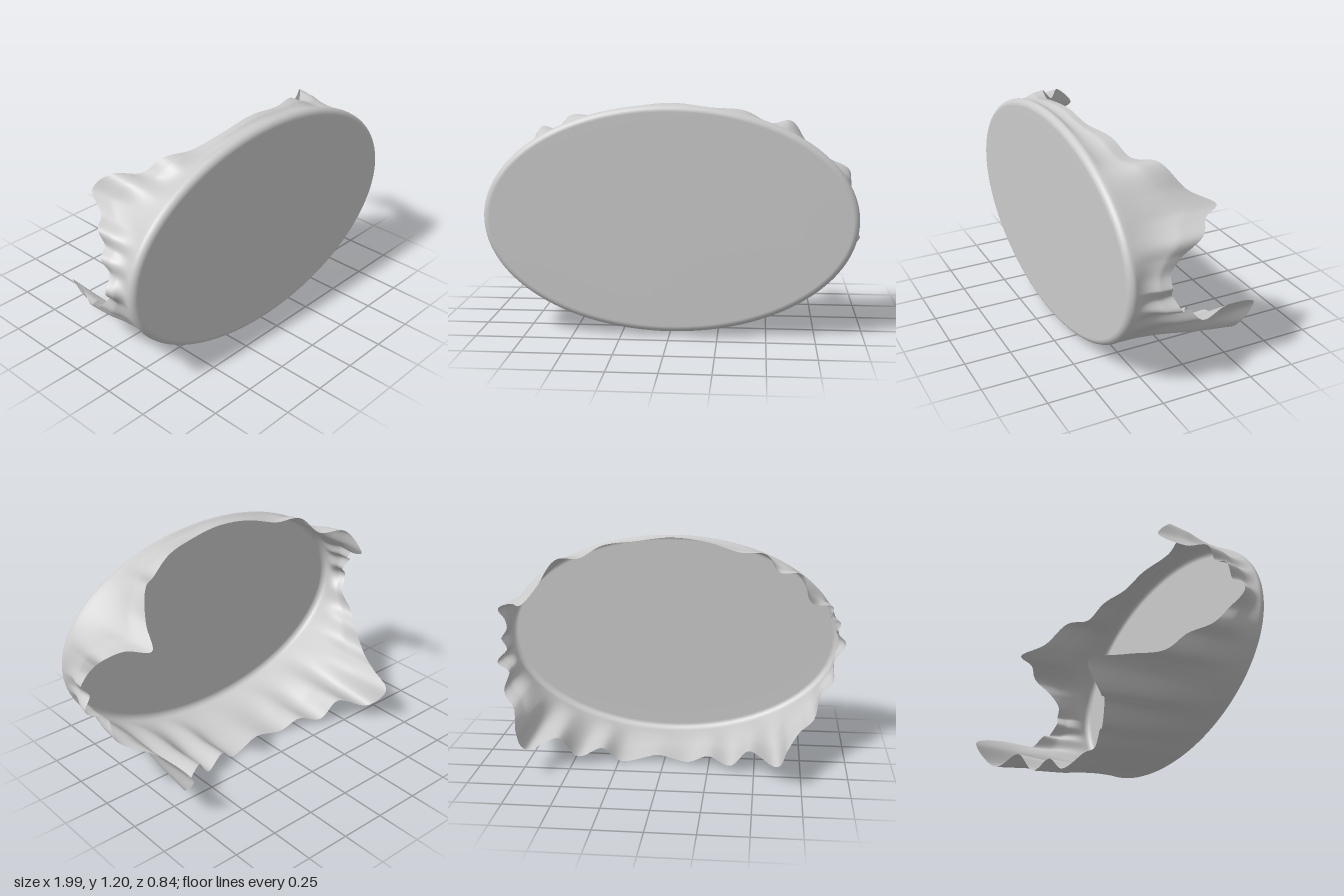
import * as THREE from 'three';

const RX = 0.965, RY = 0.59, CY = 0.61; // oval table edge
const FACE_Z = 0.42, ROUND = 0.035;

// Hem of the cloth around the oval: [angle in degrees, hem z, outward fold]
const HEM = [
  [0, 0.20, 0.012], [6, 0.19, -0.02], [13, 0.13, -0.01], [20, 0.02, 0.035], [27, -0.04, -0.01],
  [33, -0.15, -0.06], [41, -0.02, -0.04], [51, 0.09, 0.03], [58, 0.18, -0.02], [67, 0.22, 0.005],
  [78, 0.27, -0.01], [90, 0.28, 0], [103, 0.28, -0.01], [114, 0.24, -0.02], [123, 0.20, 0.025],
  [130, 0.12, -0.02], [137, 0.03, 0.045], [144, -0.07, -0.02], [151, 0.06, -0.025], [157, 0.13, 0.025],
  [162, 0.17, -0.015], [167, 0.20, 0.02], [173, 0.24, -0.015], [180, 0.27, 0.035], [189, 0.22, -0.02],
  [198, 0.13, 0.01], [205, 0.03, -0.025], [213, -0.08, 0.015], [219, -0.24, -0.02], [225, -0.41, -0.02],
  [232, -0.32, 0.065], [240, -0.22, -0.035], [248, -0.18, 0.035], [255, -0.13, -0.02], [262, -0.10, 0.015],
  [272, -0.08, -0.015], [284, -0.11, 0.032], [291, -0.14, -0.03], [298, -0.18, 0.04], [307, -0.23, -0.035],
  [315, -0.31, 0.075], [322, -0.42, -0.02], [329, -0.22, -0.03], [337, 0.0, 0.035], [343, 0.08, -0.02],
  [349, 0.15, 0.045], [354, 0.18, -0.02], [360, 0.20, 0.012],
].map((p) => new THREE.Vector3(p[0], p[1] * 100, p[2] * 100));

// One column of cloth, from the middle of the face over the edge to the hem
function clothColumn(deg, hemZ, fold) {
  const a = THREE.MathUtils.degToRad(deg);
  const ex = RX * Math.cos(a), ey = RY * Math.sin(a);
  const n = new THREE.Vector2(Math.cos(a) / RX, Math.sin(a) / RY).normalize();
  const column = [];
  // flat face
  for (const s of [0, 0.4, 0.75, 1]) {
    column.push([(ex - n.x * ROUND) * s, CY + (ey - n.y * ROUND) * s, FACE_Z]);
  }
  // rounded edge
  for (let i = 1; i <= 6; i++) {
    const b = (i / 6) * Math.PI / 2;
    const off = -ROUND * (1 - Math.sin(b));
    column.push([ex + n.x * off, CY + ey + n.y * off, FACE_Z - ROUND * (1 - Math.cos(b))]);
  }
  // hanging skirt, folds deepening toward the hem
  const startZ = FACE_Z - ROUND;
  for (let i = 1; i <= 20; i++) {
    const u = i / 20;
    const tuck = -0.012 * Math.sin(Math.PI * Math.min(1, u * 1.5));
    const off = fold * Math.pow(u, 1.1) + tuck;
    column.push([ex + n.x * off, CY + ey + n.y * off, THREE.MathUtils.lerp(startZ, hemZ, u)]);
  }
  return column;
}

function clothGeometry() {
  const columns = new THREE.CatmullRomCurve3(HEM).getPoints(470).slice(0, -1)
    .map((p) => clothColumn(p.x, p.y / 100, p.z / 100));
  const rows = columns[0].length, count = columns.length;
  const index = [];
  for (let j = 0; j < count; j++) {
    const k = (j + 1) % count;
    for (let i = 0; i < rows - 1; i++) {
      const a = j * rows + i, b = k * rows + i;
      index.push(a, a + 1, b + 1);
      if (i > 0) index.push(a, b + 1, b);
    }
  }
  const geometry = new THREE.BufferGeometry();
  geometry.setAttribute('position', new THREE.Float32BufferAttribute(columns.flat(2), 3));
  geometry.setIndex(index);
  geometry.computeVertexNormals();
  return geometry;
}

export function createModel() {
  const group = new THREE.Group();
  group.name = 'ovalTablecloth';
  const material = new THREE.MeshStandardMaterial({ color: 0xcccccc, side: THREE.DoubleSide });
  const cloth = new THREE.Mesh(clothGeometry(), material);
  cloth.name = 'drapedCloth';
  group.add(cloth);
  return group;
}
